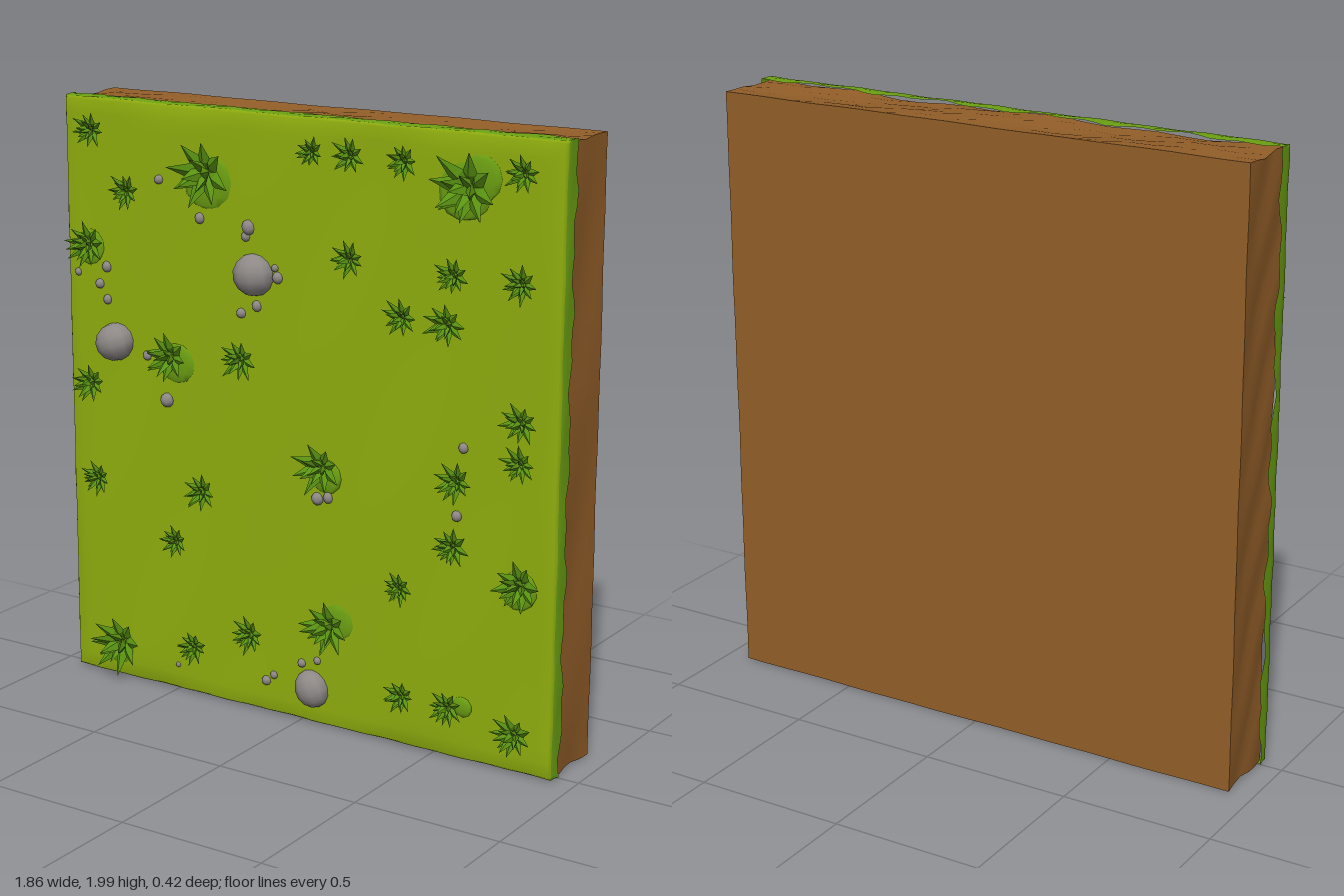
import * as THREE from 'three';
import { mergeGeometries, toCreasedNormals } from 'three/addons/utils/BufferGeometryUtils.js';

const mat = (name, color) => {
  const m = new THREE.MeshStandardMaterial({ color });
  m.name = name;
  return m;
};

// Seeded random numbers
function seeded(seed) {
  return () => {
    seed = (seed * 16807) % 2147483647;
    return seed / 2147483647;
  };
}

// Gentle rolling noise, 0 to 1
const wave = (a, b) => 0.5 + 0.25 * Math.sin(a * 7.3 + b * 3.1 + 1) + 0.25 * Math.sin(a * 17.7 - b * 9.3 + 2);

// x, y, radius of each plant
const PLANTS = [
  [-0.81, 1.89, 0.06], [0.05, 1.89, 0.05], [0.19, 1.89, 0.06], [0.38, 1.89, 0.06], [0.79, 1.89, 0.06],
  [-0.35, 1.79, 0.115], [0.61, 1.83, 0.115], [-0.67, 1.7, 0.06], [-0.83, 1.51, 0.075], [0.19, 1.57, 0.06],
  [0.56, 1.56, 0.06], [0.79, 1.56, 0.06], [0.38, 1.41, 0.06], [0.54, 1.41, 0.07], [-0.22, 1.2, 0.07],
  [-0.5, 1.17, 0.085], [-0.83, 1.04, 0.07], [0.8, 1.14, 0.065], [0.8, 1.01, 0.06], [0.09, 0.89, 0.085],
  [0.58, 0.92, 0.065], [-0.81, 0.71, 0.06], [-0.38, 0.73, 0.065], [0.57, 0.71, 0.065], [0.81, 0.63, 0.085],
  [-0.49, 0.54, 0.055], [0.38, 0.54, 0.055], [0.12, 0.36, 0.09], [-0.19, 0.27, 0.065], [-0.72, 0.14, 0.1],
  [-0.42, 0.18, 0.06], [0.39, 0.18, 0.06], [0.56, 0.18, 0.06], [0.8, 0.14, 0.075],
];

// x, y, radius of each stone
const STONES = [
  [-0.17, 1.48, 0.073], [-0.73, 1.19, 0.073], [0.05, 0.13, 0.06], [-0.52, 1.02, 0.026],
  [-0.19, 1.63, 0.025], [-0.2, 1.6, 0.018], [-0.08, 1.48, 0.02], [-0.09, 1.51, 0.014], [-0.22, 1.35, 0.019],
  [-0.16, 1.38, 0.018], [-0.38, 1.64, 0.018], [-0.54, 1.75, 0.018], [-0.76, 1.44, 0.018],
  [-0.79, 1.38, 0.018], [-0.76, 1.33, 0.016], [-0.88, 1.41, 0.013], [-0.6, 1.16, 0.016],
  [0.07, 0.78, 0.022], [0.11, 0.79, 0.018], [0.6, 1.03, 0.017], [0.58, 0.81, 0.018],
  [0.01, 0.21, 0.016], [0.07, 0.23, 0.014], [-0.13, 0.12, 0.018], [-0.1, 0.145, 0.014], [-0.49, 0.1, 0.01],
];

// x, y, radius of low moss patches
const MOSS = [
  [-0.35, 1.76, 0.1], [0.59, 1.82, 0.1], [0.64, 1.86, 0.08], [-0.83, 1.5, 0.065], [-0.48, 1.15, 0.075],
  [0.1, 0.86, 0.065], [0.15, 0.38, 0.065], [0.8, 0.61, 0.07], [-0.74, 0.12, 0.075], [0.61, 0.19, 0.04],
];

// Soil block with slightly uneven sides and a flat back
function soilGeometry() {
  const g = new THREE.BoxGeometry(1.845, 1.985, 0.235, 22, 24, 5);
  const p = g.attributes.position;
  for (let i = 0; i < p.count; i++) {
    let x = p.getX(i), y = p.getY(i);
    const z = p.getZ(i);
    const depth = THREE.MathUtils.clamp((z + 0.118) / 0.1, 0, 1);
    const dent = 0.003 + depth * 0.014;
    if (Math.abs(x) > 0.92) x -= Math.sign(x) * dent * wave(y, z * 4 + x);
    if (Math.abs(y) > 0.99) y -= Math.sign(y) * dent * wave(x, z * 4 + y);
    p.setXYZ(i, x, y, z);
  }
  return toCreasedNormals(g, 0.7);
}

// Grass layer: a sheet whose outer rings fold back over the soil
const N = 48;
const ringOf = (i, j) => Math.min(i, j, N - i, N - j);
function grassGeometry(isRim) {
  const g = new THREE.PlaneGeometry(2, 2, N, N);
  const p = g.attributes.position;
  const inset = [0, 0, 0.002, 0.012];
  const depth = [0, 0.015, 0.038, 0.047];
  const spread = (k) => {
    const ring = Math.min(k, N - k), side = k < N / 2 ? -1 : 1;
    return ring < 4 ? side * (1 - inset[ring]) : THREE.MathUtils.mapLinear(k, 3, N - 3, -0.988, 0.988);
  };
  for (let j = 0; j <= N; j++) for (let i = 0; i <= N; i++) {
    const r = ringOf(i, j), x = spread(i) * 0.928, y = -spread(j) * 0.995;
    const along = Math.abs(x) > Math.abs(y) * 0.932 ? y : x;
    let z = r < 4 ? depth[r] : 0.045 + 0.008 * wave(x * 0.7, y * 0.8);
    if (r === 0) z = -0.03 + 0.035 * wave(along * 2.1, x > y ? 1 : 3);
    const wobble = r < 3 ? 1 - 0.004 * wave(along * 2, r * 0.3) : 1;
    p.setXYZ(j * (N + 1) + i, x * wobble, y * wobble, z);
  }
  g.computeVertexNormals();
  // Keep only the rim cells or only the front cells
  const kept = [], idx = g.index.array;
  for (let c = 0; c < N * N; c++) {
    const i = c % N, j = Math.floor(c / N);
    if ((Math.min(i, j, N - 1 - i, N - 1 - j) < 2) === isRim) kept.push(...idx.slice(c * 6, c * 6 + 6));
  }
  g.setIndex(kept);
  return g;
}

// Pointed, ridged leaf of unit length along +y
function leafGeometry(width) {
  const g = new THREE.OctahedronGeometry(1);
  const p = g.attributes.position;
  for (let i = 0; i < p.count; i++) {
    const y = p.getY(i);
    p.setXYZ(i, p.getX(i) * width, y < 0 ? 0.4 * (1 + y) : 0.4 + 0.6 * y, p.getZ(i) * 0.13);
  }
  g.computeVertexNormals();
  return g;
}

// Rosette of leaves growing towards +z, unit radius
function plantGeometry(rand, big) {
  const leaves = [];
  const rings = big ? [[8, 1, 0.55], [5, 0.55, 1.1], [1, 0.1, 1.35]] : [[9, 1, 0.5], [6, 0.55, 0.95], [1, 0.05, 1.2]];
  rings.forEach(([count, reach, rise], k) => {
    for (let n = 0; n < count; n++) {
      const a = ((n + k * 0.5 + (rand() - 0.5) * 0.3) / count) * Math.PI * 2;
      const size = 0.85 + rand() * 0.3;
      const length = Math.hypot(reach, rise) * size;
      const leaf = leafGeometry(big ? 0.24 : 0.21);
      leaf.scale(1, length, 1);
      leaf.rotateX(Math.atan2(rise, reach));
      leaf.rotateZ(a);
      leaves.push(leaf);
    }
  });
  return mergeGeometries(leaves);
}

export function createModel() {
  const rand = seeded(77);
  const soil = mat('soil brown', 0x925e28);
  const grass = mat('grass green', 0x8fae0e);
  const rim = mat('edge green', 0x6ca012);
  const leaf = mat('leaf green', 0x5a9412);
  const stone = mat('stone grey', 0x8f8a88);

  const model = new THREE.Group();
  model.name = 'grassTile';
  const add = (name, geometry, material, x = 0, y = 0, z = 0) => {
    const mesh = new THREE.Mesh(geometry, material);
    mesh.name = name;
    mesh.position.set(x, y, z);
    model.add(mesh);
    return mesh;
  };

  // Ground layers
  add('soilBlock', soilGeometry(), soil, 0, 1.0, -0.0965);
  add('grassFront', grassGeometry(false), grass, 0, 1.003, 0);
  const edge = grassGeometry(true);
  const rimMaterial = rim.clone();
  rimMaterial.side = THREE.DoubleSide;
  add('grassEdge', edge, rimMaterial, 0, 1.003, 0);

  // Low moss patches
  for (const [x, y, r] of MOSS) {
    const m = add('mossPatch', new THREE.SphereGeometry(1, 9, 6), rim, x, y, 0.047);
    m.scale.set(r, r * 0.9, 0.012);
    m.rotation.z = rand() * 3;
  }

  // Plants
  for (const [x, y, r] of PLANTS) {
    const m = add('plant', plantGeometry(rand, r > 0.08), leaf, x, y, 0.046);
    m.scale.setScalar(r);
    m.rotation.z = rand() * 6;
  }

  // Stones and pebbles
  for (const [x, y, r] of STONES) {
    const g = new THREE.SphereGeometry(1, r > 0.04 ? 10 : 7, r > 0.04 ? 7 : 5);
    const m = add(r > 0.04 ? 'stone' : 'pebble', g, stone, x, y, 0.05);
    m.scale.set(r, r * (0.85 + rand() * 0.25), r * 0.85);
    m.rotation.z = rand() * 0.6;
  }
  return model;
}
